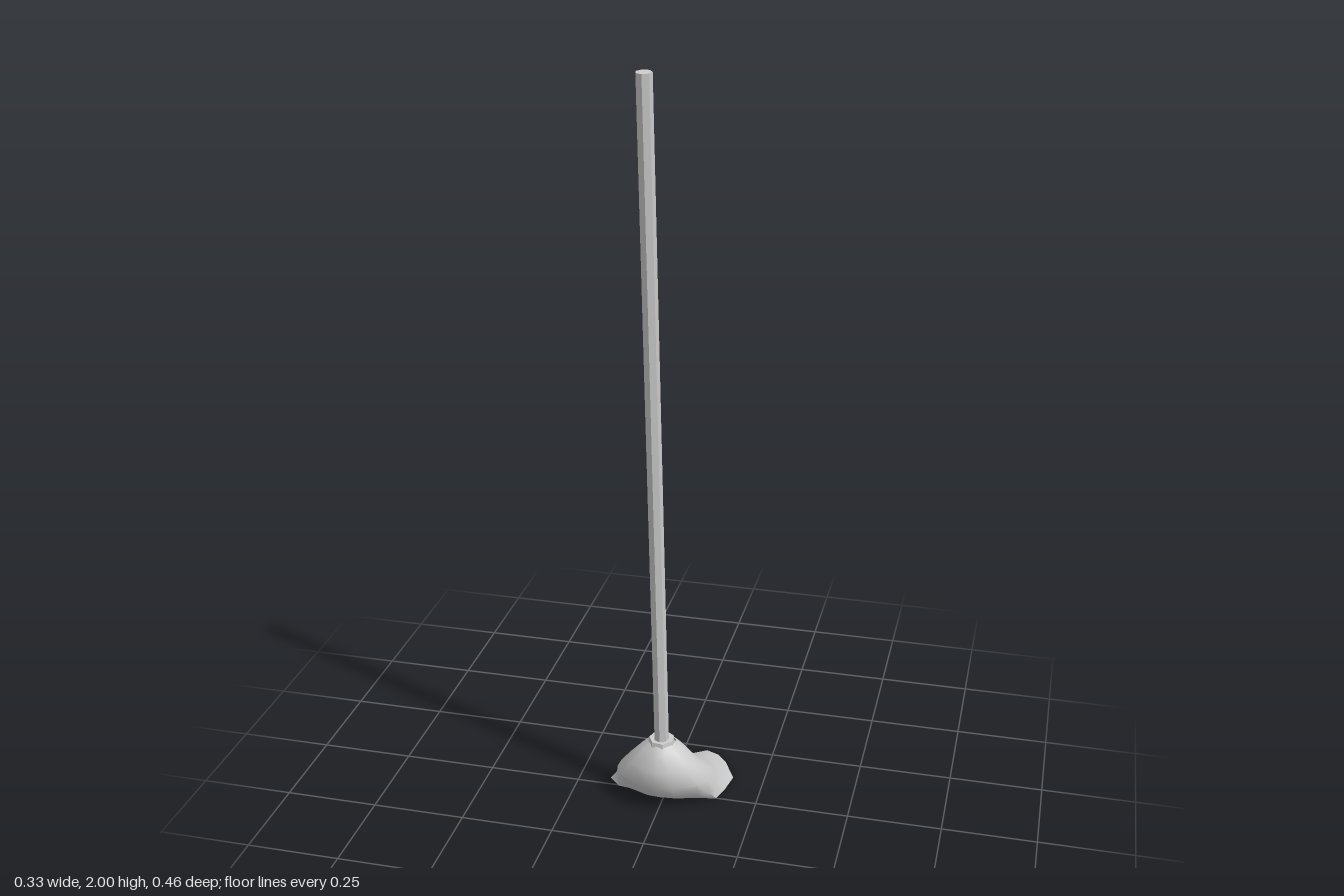
import * as THREE from 'three';
import { toCreasedNormals } from 'three/addons/utils/BufferGeometryUtils.js';

const smooth = new THREE.MeshStandardMaterial({ color: 0xcccccc });
const flat = new THREE.MeshStandardMaterial({ color: 0xcccccc, flatShading: true });

// Ragged outline of the mop cloth seen from above [x, z], front centre towards +x
const OUTLINE = [
  [0, 0.113], [0.04, 0.113], [0.1, 0.08], [0.13, 0.045], [0.14, 0], [0.155, -0.05], [0.165, -0.11],
  [0.13, -0.18], [0.1, -0.215], [0.065, -0.23], [0.03, -0.207], [-0.01, -0.223], [-0.05, -0.221],
  [-0.085, -0.158], [-0.13, -0.133], [-0.14, -0.09], [-0.165, -0.03], [-0.135, 0.02], [-0.13, 0.04],
  [-0.1, 0.075], [-0.03, 0.113],
];

function meshFrom(points, index) {
  const g = new THREE.BufferGeometry();
  g.setAttribute('position', new THREE.Float32BufferAttribute(points.flat(), 3));
  g.setIndex(index);
  return g;
}

function add(parent, name, geometry, material) {
  const mesh = new THREE.Mesh(geometry, material);
  mesh.name = name;
  parent.add(mesh);
  return mesh;
}

function mopHead() {
  const head = new THREE.Group();
  head.name = 'mopHead';
  const n = OUTLINE.length;
  // Ellipse ring that follows the direction of each outline point
  const ellipse = (y, cz, rx, rz) => OUTLINE.map(([x, z]) => {
    const a = Math.atan2(x, z);
    return [Math.sin(a) * rx, y, cz + Math.cos(a) * rz];
  });
  // The cloth lies on the floor at the back and tucks under at the front
  const ground = OUTLINE.map(([x, z]) => [x, 0, z > 0 ? z * 0.1 : z]);
  const belly = ellipse(0.07, 0, 0.134, 0.115).map(([x, y, z]) => [x, y + z * 0.12, z]);
  const under = ground.map((p, i) => {
    const front = THREE.MathUtils.smoothstep(OUTLINE[i][1], -0.05, 0.08);
    const t = 0.5 + front * 0.12;
    const low = 0.022 + front * 0.008;
    return [p[0] + (belly[i][0] - p[0]) * t, low, p[2] + (belly[i][2] - p[2]) * t];
  });
  const rings = [
    ground, under, belly,
    ellipse(0.13, 0.04, 0.095, 0.072),
    ellipse(0.172, 0.044, 0.057, 0.052),
    ellipse(0.19, 0.045, 0.036, 0.036),
  ];
  const index = [];
  for (let r = 0; r < rings.length - 1; r++) {
    for (let c = 0; c < n; c++) {
      const a = r * n + c, b = r * n + (c + 1) % n;
      index.push(a, b, a + n, b, b + n, a + n);
    }
  }
  add(head, 'mopCloth', toCreasedNormals(meshFrom(rings.flat(), index), 0.9), smooth);

  // Flat underside
  const fan = [];
  for (let c = 0; c < n; c++) fan.push(n, (c + 1) % n, c);
  add(head, 'mopUnderside', meshFrom([...ground, [0, 0, -0.1]], fan), flat);
  return head;
}

export function createModel() {
  const model = new THREE.Group();
  model.name = 'mop';
  model.add(mopHead());

  // Collar that holds the handle
  const collar = add(model, 'collar', new THREE.CylinderGeometry(0.034, 0.037, 0.02, 7), flat);
  collar.position.set(0, 0.191, 0.049);
  collar.rotation.set(0.04, 0.3, 0);

  // Long handle leaning towards the front
  const foot = new THREE.Vector3(0, 0.17, 0.05);
  const tip = new THREE.Vector3(0, 1.997, 0.208);
  const axis = tip.clone().sub(foot);
  const handle = add(model, 'handle', new THREE.CylinderGeometry(0.02, 0.02, axis.length(), 7), flat);
  handle.position.copy(foot).lerp(tip, 0.5);
  handle.quaternion.setFromUnitVectors(new THREE.Vector3(0, 1, 0), axis.normalize());
  return model;
}
